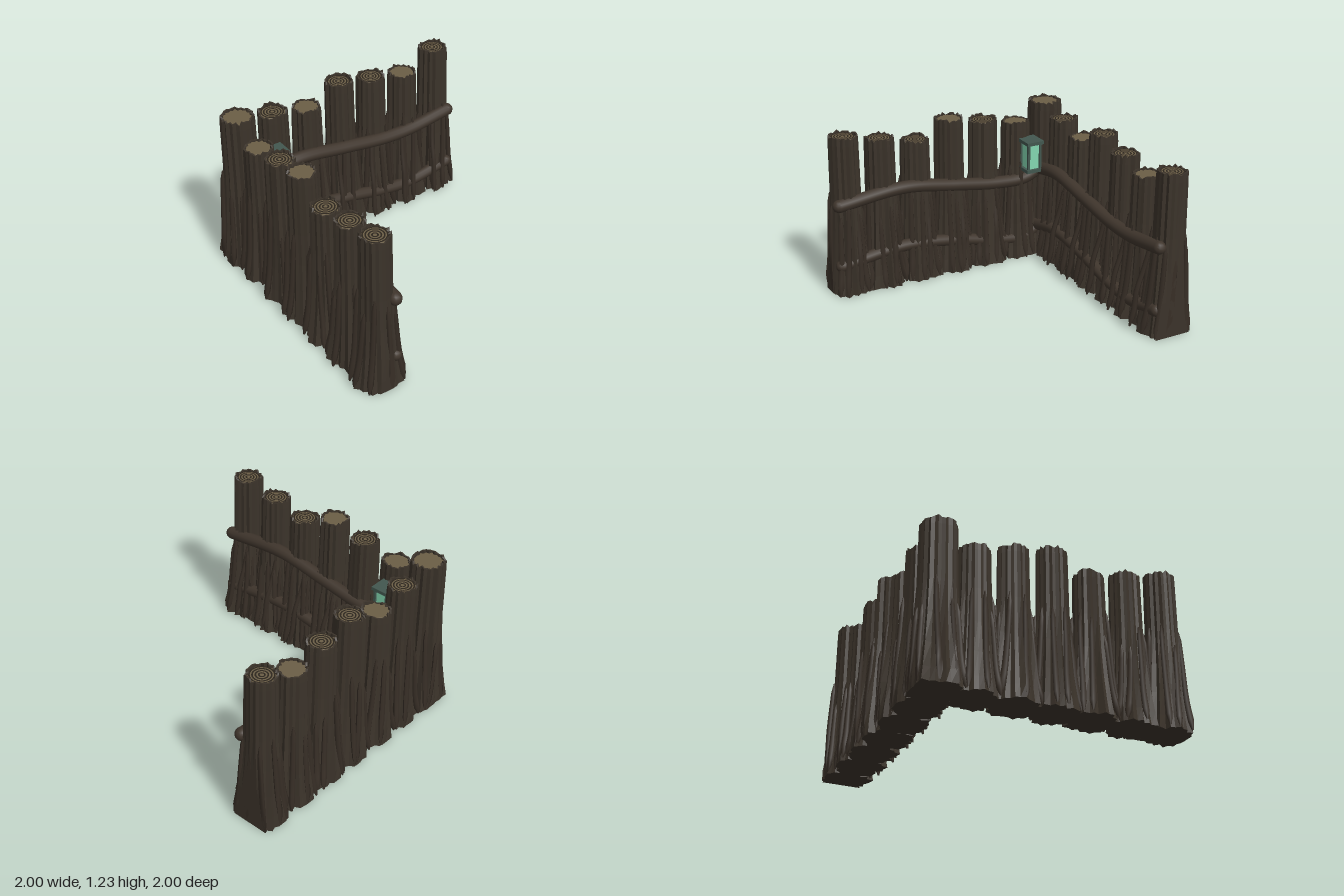
import * as THREE from 'three';

const mat = (name, color, side = THREE.FrontSide) => {
  const m = new THREE.MeshStandardMaterial({ color, side });
  m.name = name;
  return m;
};

export function createModel() {
  const model = new THREE.Group();
  model.name = 'cornerPalisade';
  const bark = mat('bark', 0x3b332a);
  const root = mat('root', 0x372e26);
  const railWood = mat('railWood', 0x3f352c);
  const cutWood = mat('cutWood', 0x6b5e46);
  const ringWood = mat('growthRing', 0x2c251d);
  const frame = mat('lanternFrame', 0x42574f);
  const glass = mat('lanternGlass', 0x82d6b0);

  let seed = 7;
  const rnd = (a = 0, b = 1) => {
    seed = (seed * 16807) % 2147483647;
    return a + (b - a) * seed / 2147483647;
  };
  const clamp = v => Math.max(-1, Math.min(1, v));
  const add = (parent, name, geo, material, x = 0, y = 0, z = 0) => {
    const mesh = new THREE.Mesh(geo, material);
    mesh.name = name;
    mesh.position.set(x, y, z);
    parent.add(mesh);
    return mesh;
  };

  // Faceted skin from loops of points, with optional end fans
  const skin = (loops, closeBottom, closeTop) => {
    const n = loops[0].length, pos = [], idx = [];
    loops.forEach(l => l.forEach(p => pos.push(...p)));
    for (let j = 0; j < loops.length - 1; j++) for (let i = 0; i < n; i++) {
      const a = j * n + i, c = j * n + (i + 1) % n;
      idx.push(a, a + n, c, a + n, c + n, c);
    }
    const fan = (loop, start, up) => {
      const mid = pos.length / 3;
      pos.push(...[0, 1, 2].map(k => loop.reduce((s, p) => s + p[k], 0) / n));
      for (let i = 0; i < n; i++) {
        const a = start + i, b = start + (i + 1) % n;
        idx.push(mid, up ? b : a, up ? a : b);
      }
    };
    if (closeBottom) fan(loops[0], 0, false);
    if (closeTop) fan(loops[loops.length - 1], (loops.length - 1) * n, true);
    const g = new THREE.BufferGeometry();
    g.setAttribute('position', new THREE.Float32BufferAttribute(pos, 3));
    g.setIndex(idx);
    const flat = g.toNonIndexed();
    flat.computeVertexNormals();
    return flat;
  };

  // Tapering strand along a smooth path, kept inside the footprint
  const strand = (points, r0, r1) => {
    const curve = new THREE.CatmullRomCurve3(points.map(p => new THREE.Vector3(...p)));
    const g = new THREE.TubeGeometry(curve, 10, 1, 6);
    const p = g.attributes.position, v = new THREE.Vector3();
    for (let j = 0; j <= 10; j++) {
      const c = curve.getPointAt(j / 10), r = r0 + (r1 - r0) * j / 10;
      for (let i = 0; i <= 6; i++) {
        const k = j * 7 + i;
        v.fromBufferAttribute(p, k).sub(c).multiplyScalar(j === 0 || j === 10 ? r * 0.3 : r).add(c);
        p.setXYZ(k, clamp(v.x), Math.max(0, v.y), clamp(v.z));
      }
    }
    g.computeVertexNormals();
    return g;
  };

  // Ridged log with flared foot, ragged rim, cut top and roots
  const SIDES = 32;
  function log(cx, cz, h, r, ringed) {
    const g = new THREE.Group();
    g.name = 'log';
    const ridge = [], rim = [];
    const phase = rnd(0, 6);
    for (let i = 0; i < SIDES; i++) {
      ridge.push((i % 2 ? -0.04 : 0.04) + rnd(-0.05, 0.05));
      rim.push(rnd(-0.018, 0.008));
    }
    const loop = (y, rad, amp, rimAmount = 0) => ridge.map((d, i) => {
      const a = i / SIDES * Math.PI * 2;
      const lobe = 0.09 * Math.sin(a * 5 + phase) * Math.max(0, 1 - y / 0.6);
      const R = rad * (1 + d * amp + lobe);
      return [clamp(cx + R * Math.cos(a)), y + rim[i] * rimAmount, clamp(cz + R * Math.sin(a))];
    });
    add(g, 'bark', skin([
      loop(0, r + 0.065, 1.6), loop(0.1, r + 0.05, 1.6), loop(0.28, r + 0.03, 1.5),
      loop(0.5, r + 0.014, 1.3), loop(0.75, r + 0.004, 1), loop(h - 0.06, r, 1),
      loop(h, r * 0.98, 1, 1), loop(h, r * 0.86, 1.5, 1), loop(h - 0.025, r * 0.84, 1.5),
    ], true, false), bark);
    add(g, 'cutTop', skin([loop(h - 0.025, r * 0.86, 1.5), loop(h - 0.014, r * 0.8, 1.5)],
      false, true), cutWood);
    // Growth rings
    if (ringed) for (const f of [0.18, 0.38, 0.58, 0.76]) {
      const ring = new THREE.RingGeometry(r * (f - 0.05), r * (f + 0.05), 24);
      ring.rotateX(-Math.PI / 2);
      add(g, 'growthRing', ring, ringWood, cx, h - 0.012, cz);
    }
    // Roots hugging the trunk and spreading at the ground
    for (let k = 0; k < 9; k++) {
      const a = (k + rnd(-0.25, 0.25)) / 9 * Math.PI * 2 + phase;
      const top = rnd(0.55, 0.8), twist = rnd(-0.3, 0.3);
      const at = (y, rad, t) => [cx + rad * Math.cos(a + t), y, cz + rad * Math.sin(a + t)];
      add(g, 'root', strand([at(top, r + 0.012, 0), at(top * 0.65, r + 0.028, twist * 0.3),
        at(top * 0.3, r + 0.045, twist * 0.7), at(0.01, r + 0.08, twist)], 0.016, 0.024), root);
    }
    model.add(g);
  }

  // Two runs of logs meeting at the back right corner
  const heights = [1.22, 1.16, 1.1, 1.215, 1.16, 1.1, 1.22];
  const ringedBack = [false, true, false, true, true, false, true];
  heights.forEach((h, i) =>
    log(-0.82 + 0.285 * i, -0.84, h, i === 0 ? 0.122 : 0.106, ringedBack[i]));
  for (let i = 0; i < 6; i++) log(-0.81, 0.85 - 0.285 * i, heights[i], 0.106, i % 2 === 0 || i === 1);

  // Wavy rails; each run maps (along, height, inward) to x, y, z
  const backRun = (s, y, n) => [s, y, n];
  const sideRun = (s, y, n) => [n, y, -s];
  const upper = [0.71, 0.76, 0.705, 0.65, 0.645, 0.69];
  const lower = [0.23, 0.29, 0.25, 0.175, 0.155, 0.21];
  for (const [run, from, to] of [[backRun, -0.72, 0.95], [sideRun, -0.94, 0.71]]) {
    const along = [from, -0.42, -0.02, 0.35, 0.6, to];
    for (const [ys, name, r] of [[upper, 'upperRail', 0.048], [lower, 'lowerRail', 0.045]]) {
      const pts = along.map((s, i) => new THREE.Vector3(...run(s, ys[i], -0.72)));
      add(model, name, new THREE.TubeGeometry(new THREE.CatmullRomCurve3(pts), 40, r, 12), railWood);
      for (const p of [pts[0], pts[5]])
        add(model, name + 'End', new THREE.SphereGeometry(r, 12, 8), railWood, p.x, p.y, p.z);
    }
  }

  // Thin vines hanging over the lower rails
  const vine = (run, s) => {
    const w = rnd(-0.02, 0.02);
    add(model, 'vine', strand([run(s + 0.03 + w, 0.7, -0.745), run(s + 0.01, 0.45, -0.7),
      run(s, 0.3, -0.66), run(s - 0.005, 0.16, -0.65), run(s - 0.015, 0.03, -0.625)], 0.016, 0.022), root);
    // Shorter companion behind it
    add(model, 'vine', strand([run(s + 0.05, 0.6, -0.76), run(s + 0.07, 0.3, -0.72),
      run(s + 0.1, 0.12, -0.69), run(s + 0.08, 0.02, -0.675)], 0.014, 0.02), root);
  };
  for (let i = 0; i < 5; i++) {
    vine(backRun, -0.36 + 0.287 * i);
    vine(sideRun, 0.33 - 0.285 * i);
  }

  // Lantern hung in the inner corner
  const lantern = new THREE.Group();
  lantern.name = 'lantern';
  lantern.position.set(-0.65, 0, -0.622);
  const box = (name, w, h, d, m, x, y, z) => add(lantern, name, new THREE.BoxGeometry(w, h, d), m, x, y, z);
  box('lanternRoof', 0.162, 0.026, 0.142, frame, 0, 0.967, 0);
  box('lanternBase', 0.15, 0.026, 0.135, frame, 0, 0.743, 0);
  box('lanternGlass', 0.108, 0.2, 0.09, glass, 0, 0.855, 0);
  for (const x of [-1, 1]) for (const z of [-1, 1])
    box('lanternPost', 0.018, 0.2, 0.018, frame, x * 0.058, 0.855, z * 0.05);
  model.add(lantern);

  return model;
}
